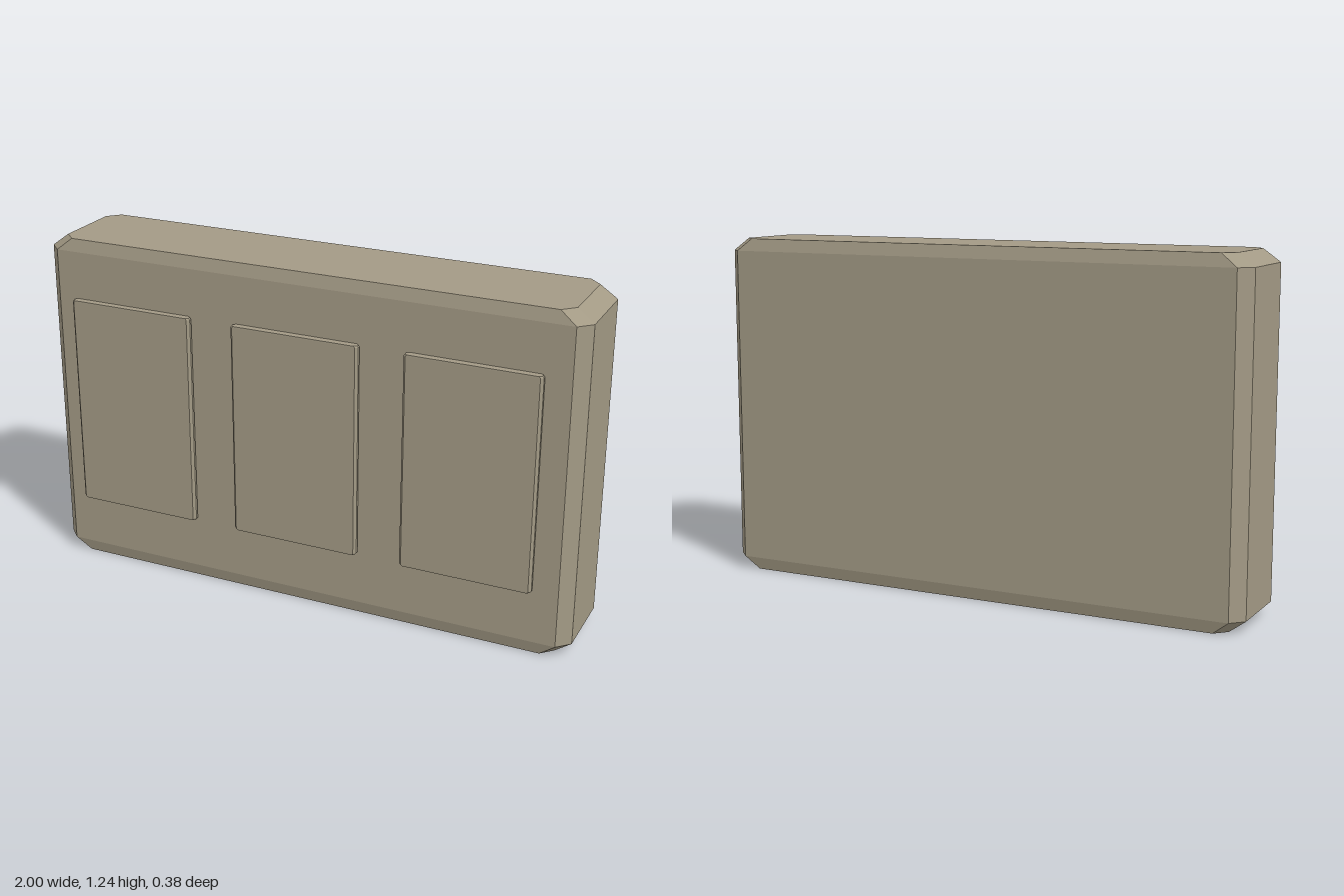
import * as THREE from 'three';
import { ConvexGeometry } from 'three/addons/geometries/ConvexGeometry.js';

// Slab with an octagonal plan, cut corners and bevelled top and bottom ends
function bevelledSlab(width, height, depth, cut, bevel, endScale) {
  const w = width / 2, d = depth / 2;
  const plan = [[w, d - cut], [w - cut, d]];
  const rings = [[0, endScale], [bevel, 1], [height - bevel, 1], [height, endScale]];
  const points = [];
  for (const [y, s] of rings)
    for (const [x, z] of plan)
      for (const sx of [-1, 1])
        for (const sz of [-1, 1]) points.push(new THREE.Vector3(x * s * sx, y, z * s * sz));
  return new ConvexGeometry(points);
}

export function createModel() {
  const model = new THREE.Group();
  model.name = 'panelledSlab';
  const stone = new THREE.MeshStandardMaterial({ color: 0xa39a85, flatShading: true });
  stone.name = 'warm grey stone';

  // Main block
  const body = new THREE.Mesh(bevelledSlab(2, 1.24, 0.358, 0.045, 0.045, 0.94), stone);
  body.name = 'body';
  body.position.z = -0.013;
  model.add(body);

  // Three raised panels on the front
  const panelGeometry = bevelledSlab(0.478, 0.78, 0.028, 0.009, 0.006, 0.98);
  [-0.651, -0.013, 0.627].forEach((x, i) => {
    const panel = new THREE.Mesh(panelGeometry, stone);
    panel.name = 'frontPanel' + (i + 1);
    panel.position.set(x, 0.242, 0.179);
    model.add(panel);
  });
  return model;
}
